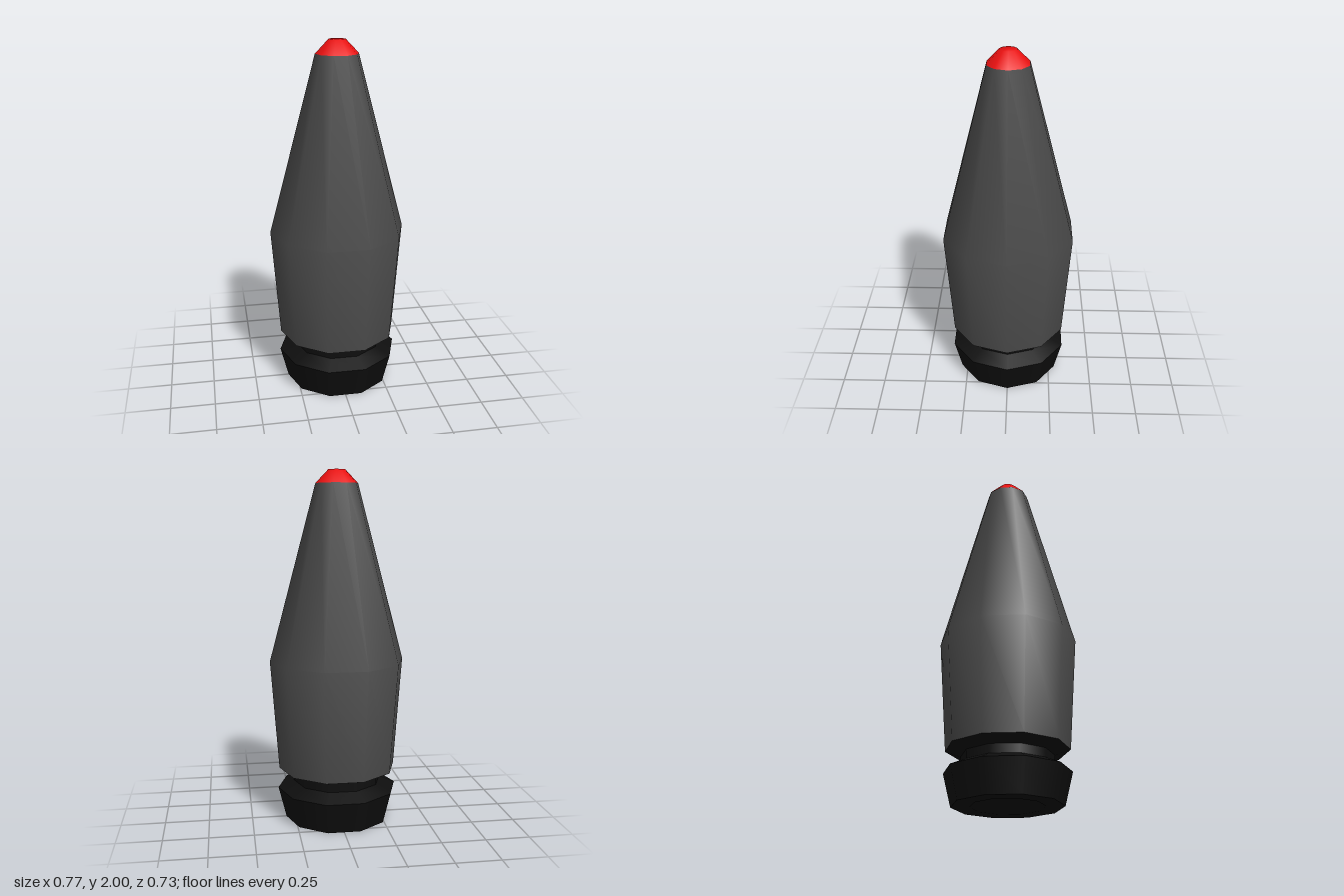
import * as THREE from 'three';

const SIDES = 10;

export function createModel() {
  const model = new THREE.Group();
  model.name = 'shell';

  const casing = new THREE.MeshStandardMaterial({ name: 'dark grey', color: 0x4a4a4a });
  const base = new THREE.MeshStandardMaterial({ name: 'black', color: 0x0e0e0e });
  const tip = new THREE.MeshStandardMaterial({ name: 'red', color: 0xec1111 });

  // Ten-sided turned part; profile of [radius, height] runs from bottom to top, corners on the x axis
  function turned(name, profile, material) {
    const points = profile.map(([r, y]) => new THREE.Vector2(r, y));
    const mesh = new THREE.Mesh(new THREE.LatheGeometry(points, SIDES, Math.PI / 2), material);
    mesh.name = name;
    model.add(mesh);
  }

  // Foot with a shallow recess underneath
  turned('footUnderside', [[0, 0.04], [0.17, 0.04], [0.2, 0], [0.3, 0]], base);
  turned('foot', [[0.3, 0], [0.345, 0.18]], base);
  turned('footShoulder', [[0.345, 0.18], [0.253, 0.22]], base);

  // Groove between foot and body
  turned('neck', [[0.253, 0.22], [0.253, 0.27]], base);
  turned('bodyUnderside', [[0.253, 0.27], [0.338, 0.3]], base);

  // Tapered body and blunt nose
  turned('body', [[0.338, 0.3], [0.385, 0.93], [0.12, 1.925]], casing);
  turned('noseTip', [[0.12, 1.925], [0.048, 2], [0, 2]], tip);

  return model;
}
